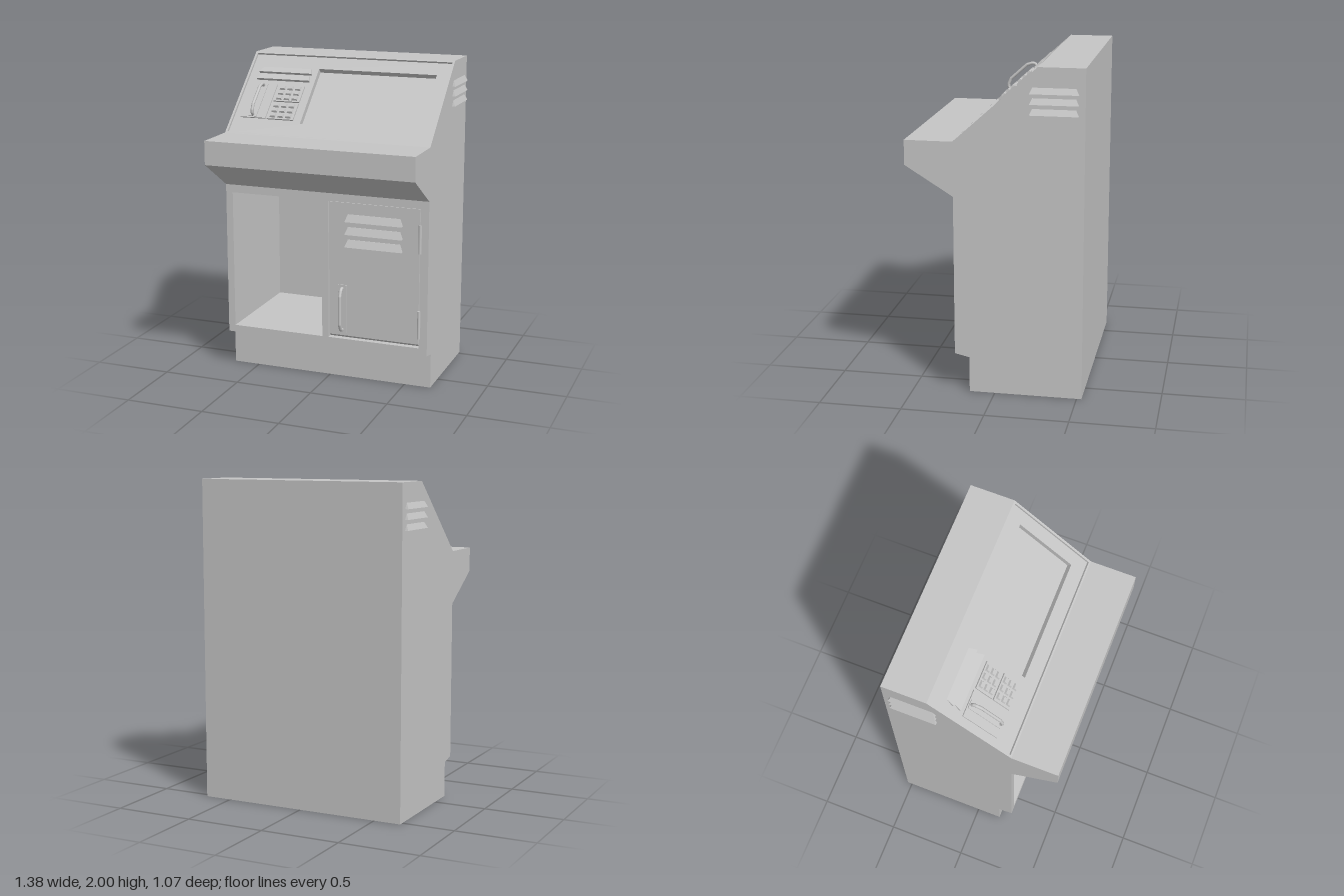
import * as THREE from 'three';

export function createModel() {
  const model = new THREE.Group();
  const grey = new THREE.MeshStandardMaterial({ color: 0xc4c4c4, side: THREE.DoubleSide });
  grey.name = 'grey paint';
  const W = 0.67;

  const add = (parent, name, geo, x = 0, y = 0, z = 0) => {
    const m = new THREE.Mesh(geo, grey);
    m.name = name;
    m.position.set(x, y, z);
    parent.add(m);
    return m;
  };

  // flat plate with rectangular holes, all given as [x0, x1, y0, y1]
  const corners = ([a, b, c, d]) => [[a, c], [b, c], [b, d], [a, d]].map(p => new THREE.Vector2(...p));
  const plate = (rect, ...holes) => {
    const s = new THREE.Shape(corners(rect));
    holes.forEach(h => s.holes.push(new THREE.Path(corners(h))));
    return new THREE.ShapeGeometry(s);
  };

  // box-shaped cavity without its front, and without its back if open
  const cavity = (parent, name, [a, b, c, d], z, depth, open = false) => {
    const geo = new THREE.BoxGeometry(b - a, d - c, depth);
    const idx = Array.from(geo.index.array);
    geo.setIndex(open ? idx.slice(0, 24) : [...idx.slice(0, 24), ...idx.slice(30)]);
    geo.clearGroups();
    return add(parent, name, geo, (a + b) / 2, (c + d) / 2, z - depth / 2);
  };

  // box whose vertices are moved by a rule
  const shaped = (w, h, d, rule) => {
    const geo = new THREE.BoxGeometry(w, h, d).toNonIndexed();
    const p = geo.attributes.position;
    const v = new THREE.Vector3();
    for (let i = 0; i < p.count; i++) {
      rule(v.fromBufferAttribute(p, i));
      p.setXYZ(i, v.x, v.y, v.z);
    }
    geo.computeVertexNormals();
    return geo;
  };

  // vent hood: sticks out at the bottom, narrows and fades into the wall at the top
  const louver = (w, h, d) => shaped(w, h, d, v => {
    v.z += d / 2;
    if (v.y > 0) {
      v.x -= Math.sign(v.x) * 0.016;
      if (v.z > 0) v.z = 0.003;
    }
  });

  // bent bar standing on the surface at both ends
  const handle = (length, reach, r) => {
    const h = length / 2, path = new THREE.CurvePath();
    const pts = [[-h, 0], [-h, reach * 0.45], [-h + 0.012, reach * 0.7], [-h + 0.045, reach],
      [h - 0.045, reach], [h - 0.012, reach * 0.7], [h, reach * 0.45], [h, 0]]
      .map(([y, z]) => new THREE.Vector3(0, y, z));
    for (let i = 1; i < pts.length; i++) path.add(new THREE.LineCurve3(pts[i - 1], pts[i]));
    return new THREE.TubeGeometry(path, 56, r, 10);
  };

  // cabinet profile as [z, y]
  const profile = [[-0.53, 0], [0.155, 0], [0.155, 0.22], [0.245, 0.24], [0.245, 1.22],
    [0.535, 1.4], [0.535, 1.55], [0.245, 1.55], [-0.255, 2], [-0.53, 2]];
  const side = new THREE.ShapeGeometry(new THREE.Shape(profile.map(p => new THREE.Vector2(...p))));
  side.rotateY(-Math.PI / 2);
  add(model, 'leftSide', side, W);
  const rightSide = side.clone();
  rightSide.scale(-1, 1, 1);
  const ri = rightSide.index.array;
  for (let i = 0; i < ri.length; i += 3) [ri[i], ri[i + 1]] = [ri[i + 1], ri[i]];
  add(model, 'rightSide', rightSide, -W);

  // flat strips along the profile; the cabinet front and slope are built separately
  const names = ['bottom', 'kickPlate', 'toeOverhang', null, 'deskUnderside', 'deskEdge',
    'deskTop', null, 'roof', 'back'];
  names.forEach((name, i) => {
    if (!name) return;
    const [z0, y0] = profile[i], [z1, y1] = profile[(i + 1) % profile.length];
    const geo = new THREE.PlaneGeometry(2 * W, Math.hypot(z1 - z0, y1 - y0));
    geo.rotateX(Math.atan2(z1 - z0, y1 - y0));
    add(model, name, geo, 0, (y0 + y1) / 2, (z0 + z1) / 2);
  });

  // cabinet front with an open bay and a door bay
  const bay = [-0.625, -0.02, 0.285, 1.17], doorBay = [0.022, 0.618, 0.285, 1.17];
  add(model, 'cabinetFront', plate([-W, W, 0.24, 1.22], bay, doorBay), 0, 0, 0.245);
  cavity(model, 'openBay', bay, 0.245, 0.735);
  cavity(model, 'doorBay', doorBay, 0.245, 0.04);

  // door with a bevelled lower edge
  const door = new THREE.Group();
  door.name = 'door';
  door.position.set(0.32, 0.7275, 0.242);
  model.add(door);
  add(door, 'doorPanel', shaped(0.586, 0.88, 0.03, v => {
    if (v.y < 0 && v.z > 0) v.y += 0.02;
  }), 0, 0, -0.015);
  [0.912, 0.992, 1.073].forEach(y => add(door, 'doorLouver', louver(0.37, 0.046, 0.024), 0, y - 0.7275, 0));
  add(door, 'handlePlate', new THREE.BoxGeometry(0.06, 0.315, 0.008), -0.205, -0.245, 0.003);
  add(door, 'doorHandle', handle(0.27, 0.05, 0.011), -0.205, -0.245, 0);
  [0.435, 0.98].forEach(y =>
    add(door, 'hinge', new THREE.CylinderGeometry(0.01, 0.01, 0.18, 12), 0.296, y - 0.7275, 0.003));

  // vents high on both sides
  [1, -1].forEach(s => [1.742, 1.804, 1.865].forEach(y => {
    add(model, s > 0 ? 'leftVent' : 'rightVent', louver(0.285, 0.036, 0.02), s * W, y, -0.35)
      .rotation.y = s * Math.PI / 2;
  }));

  // sloped console: local y runs up the slope, z points out of it
  const slope = new THREE.Group();
  slope.name = 'slopedConsole';
  slope.position.set(0, 1.55, 0.245);
  slope.rotation.x = -Math.atan2(0.5, 0.45);
  model.add(slope);
  const L = Math.hypot(0.5, 0.45), deep = -0.014;
  const inset = [-0.656, 0.656, 0.013, L - 0.014], screen = [-0.203, 0.575, 0.117, 0.563];
  add(slope, 'consoleFrame', plate([-W, W, 0, L], inset));
  cavity(slope, 'frameLip', inset, 0, -deep, true);
  add(slope, 'consolePanel', plate(inset, screen), 0, 0, deep);
  cavity(slope, 'screenRecess', screen, deep, 0.035);

  // hooded slots above the controls
  [0.473, 0.53].forEach(y => add(slope, 'slotHood', louver(0.36, 0.05, 0.018), -0.415, y, deep));

  // lever plate with a pull handle
  add(slope, 'leverPlate', new THREE.BoxGeometry(0.17, 0.275, 0.008), -0.527, 0.277, deep + 0.004);
  add(slope, 'leverBacking', new THREE.BoxGeometry(0.052, 0.26, 0.006), -0.53, 0.277, deep + 0.01);
  add(slope, 'leverHandle', handle(0.235, 0.052, 0.01), -0.53, 0.277, deep + 0.006);

  // two keypads of nine bevelled keys
  const key = shaped(0.04, 0.03, 0.012, v => {
    if (v.z > 0) { v.x *= 0.75; v.y *= 0.65; }
  });
  [0.202, 0.344].forEach(y => {
    add(slope, 'keypad', new THREE.BoxGeometry(0.176, 0.13, 0.01), -0.342, y, deep + 0.005);
    for (let r = -1; r <= 1; r++) for (let c = -1; c <= 1; c++)
      add(slope, 'key', key, -0.342 + c * 0.052, y + r * 0.04, deep + 0.016);
  });

  return model;
}
